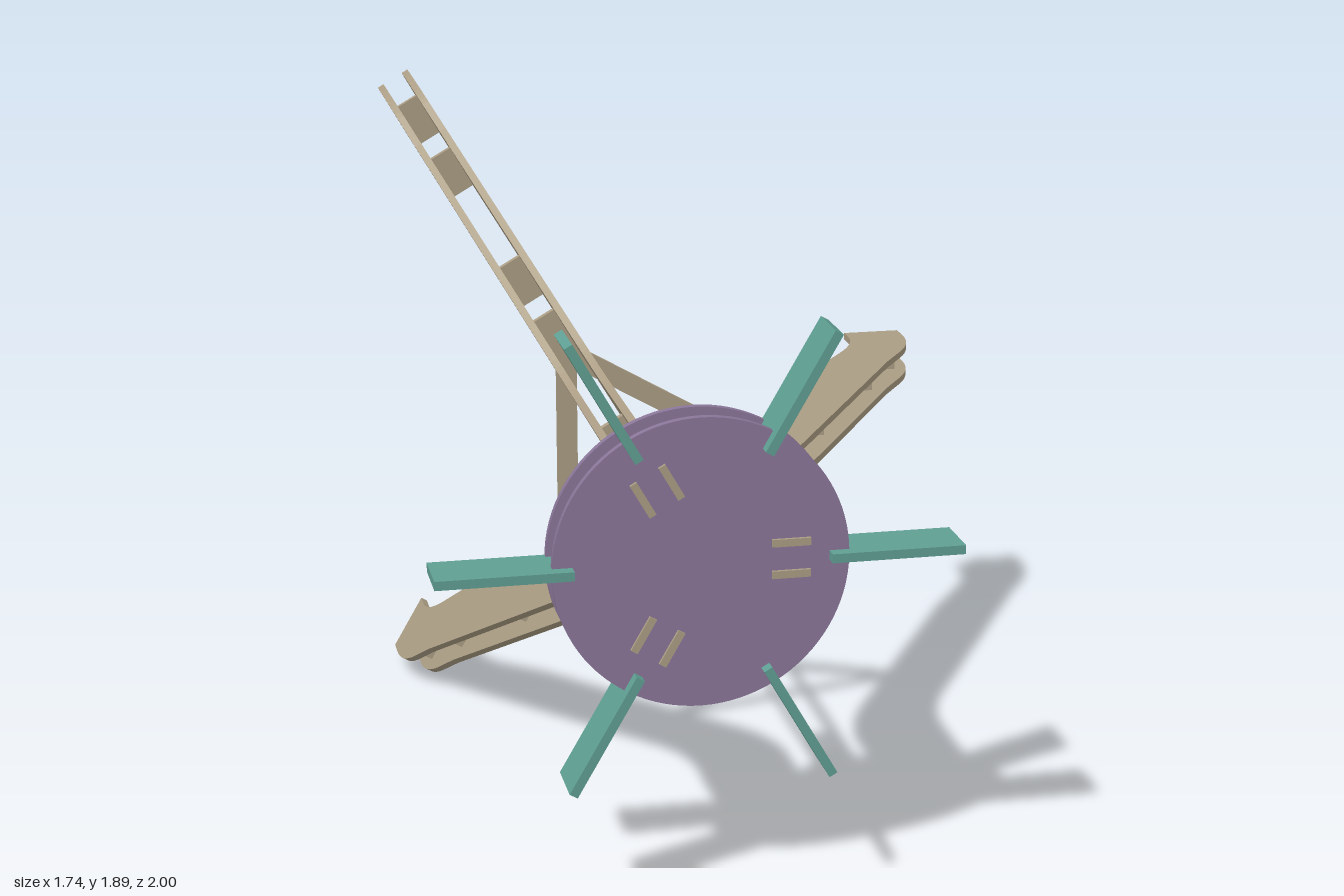
import * as THREE from 'three';

const paint = (color) => new THREE.MeshStandardMaterial({ color, flatShading: true });
const WOOD = paint(0xab9d84), PURPLE = paint(0x8a7699), TEAL = paint(0x609f93);
const T = 0.02; // sheet thickness

function add(parent, name, geometry, material) {
  const mesh = new THREE.Mesh(geometry, material);
  mesh.name = name;
  parent.add(mesh);
  return mesh;
}

// Sheet cut from an outline, centred on its own thickness
function sheet(shape) {
  return new THREE.ExtrudeGeometry(shape, { depth: T, bevelEnabled: false, curveSegments: 10 }).translate(0, 0, -T / 2);
}

// Side plate outline: first axis is distance from the hub axis, second is z
function legShape() {
  const s = new THREE.Shape();
  s.moveTo(0.14, 0.81);
  s.lineTo(0.14, 0.48);
  s.quadraticCurveTo(0.14, 0.347, 0.225, 0.2);
  s.lineTo(0.715, -0.635);
  s.lineTo(0.81, -0.765);
  s.quadraticCurveTo(0.885, -0.87, 0.885, -0.95);
  s.lineTo(0.885, -1);
  s.lineTo(1.06, -1);
  s.lineTo(1.06, -0.94);
  s.quadraticCurveTo(1.06, -0.84, 1.0, -0.745);
  s.lineTo(0.927, -0.635);
  s.lineTo(0.44, 0.197);
  s.quadraticCurveTo(0.36, 0.333, 0.36, 0.46);
  s.lineTo(0.36, 0.81);
  // tab that passes through the discs
  s.lineTo(0.28, 0.81);
  s.lineTo(0.28, 0.975);
  s.lineTo(0.18, 0.975);
  s.lineTo(0.18, 0.81);
  s.closePath();
  return s;
}

// Triangular ring joining the three legs
function braceShape() {
  const s = new THREE.Shape(), hole = new THREE.Path();
  for (let i = 0; i < 3; i++) {
    const a = i * Math.PI * 2 / 3, c = Math.cos(a), n = Math.sin(a);
    const p = (r, t) => [r * c - t * n, r * n + t * c];
    for (const q of [p(0.355, -0.033), p(0.48, -0.033), p(0.48, 0.033), p(0.355, 0.033)]) {
      if (s.curves.length || s.started) s.lineTo(...q);
      else { s.moveTo(...q); s.started = true; }
    }
    if (i) hole.lineTo(...p(0.3, 0)); else hole.moveTo(...p(0.3, 0));
  }
  hole.closePath();
  s.closePath();
  s.holes.push(hole);
  return s;
}

// Three-armed plate with concave sides
function hubShape() {
  const s = new THREE.Shape();
  for (let i = 0; i < 3; i++) {
    const a = i * Math.PI * 2 / 3, c = Math.cos(a), n = Math.sin(a);
    const p = (r, t) => [r * c - t * n, r * n + t * c];
    const m = a - Math.PI / 3;
    if (i === 0) s.moveTo(...p(0.16, -0.033));
    else s.quadraticCurveTo(0.04 * Math.cos(m), 0.04 * Math.sin(m), ...p(0.16, -0.033));
    s.lineTo(...p(0.29, -0.033));
    s.lineTo(...p(0.29, 0.033));
    s.lineTo(...p(0.16, 0.033));
  }
  s.quadraticCurveTo(0.04 * Math.cos(-Math.PI / 3), 0.04 * Math.sin(-Math.PI / 3),
    0.16, -0.033);
  return s;
}

export function createModel() {
  const model = new THREE.Group();
  model.name = 'windTurbineStand';
  model.position.set(-0.19, 0.945, 0);

  // Two round discs at the front
  for (const [name, z] of [['frontDisc', 0.956], ['rearDisc', 0.858]]) {
    const g = new THREE.CylinderGeometry(0.382, 0.382, T, 96).rotateX(Math.PI / 2);
    add(model, name, g, PURPLE).position.z = z;
  }

  // Six radial blades
  for (let i = 0; i < 6; i++) {
    const g = new THREE.BoxGeometry(0.35, 0.024, 0.15).translate(0.505, 0, 0.925);
    add(model, 'blade', g, TEAL).rotation.z = i * Math.PI / 3;
  }

  // Three legs: paired side plates with spacers between
  const plate = sheet(legShape()).rotateX(Math.PI / 2);
  const spacers = [[0.25, 0.58], [0.545, -0.19], [0.81, -0.63], [0.945, -0.855]];
  for (let i = 0; i < 3; i++) {
    const leg = new THREE.Group();
    leg.name = 'leg';
    leg.rotation.z = i * Math.PI * 2 / 3;
    for (const side of [-1, 1]) add(leg, 'sidePlate', plate, WOOD).position.y = side * 0.042;
    for (const [r, z] of spacers) {
      add(leg, 'spacer', new THREE.BoxGeometry(0.13, 0.066, T), WOOD).position.set(r, 0, z);
    }
    model.add(leg);
  }

  // Cross bracing
  add(model, 'triangleBrace', sheet(braceShape()), WOOD).position.z = -0.005;
  add(model, 'hubPlate', sheet(hubShape()), WOOD).position.z = 0.657;

  const root = new THREE.Group();
  root.name = 'model';
  root.add(model);
  return root;
}
